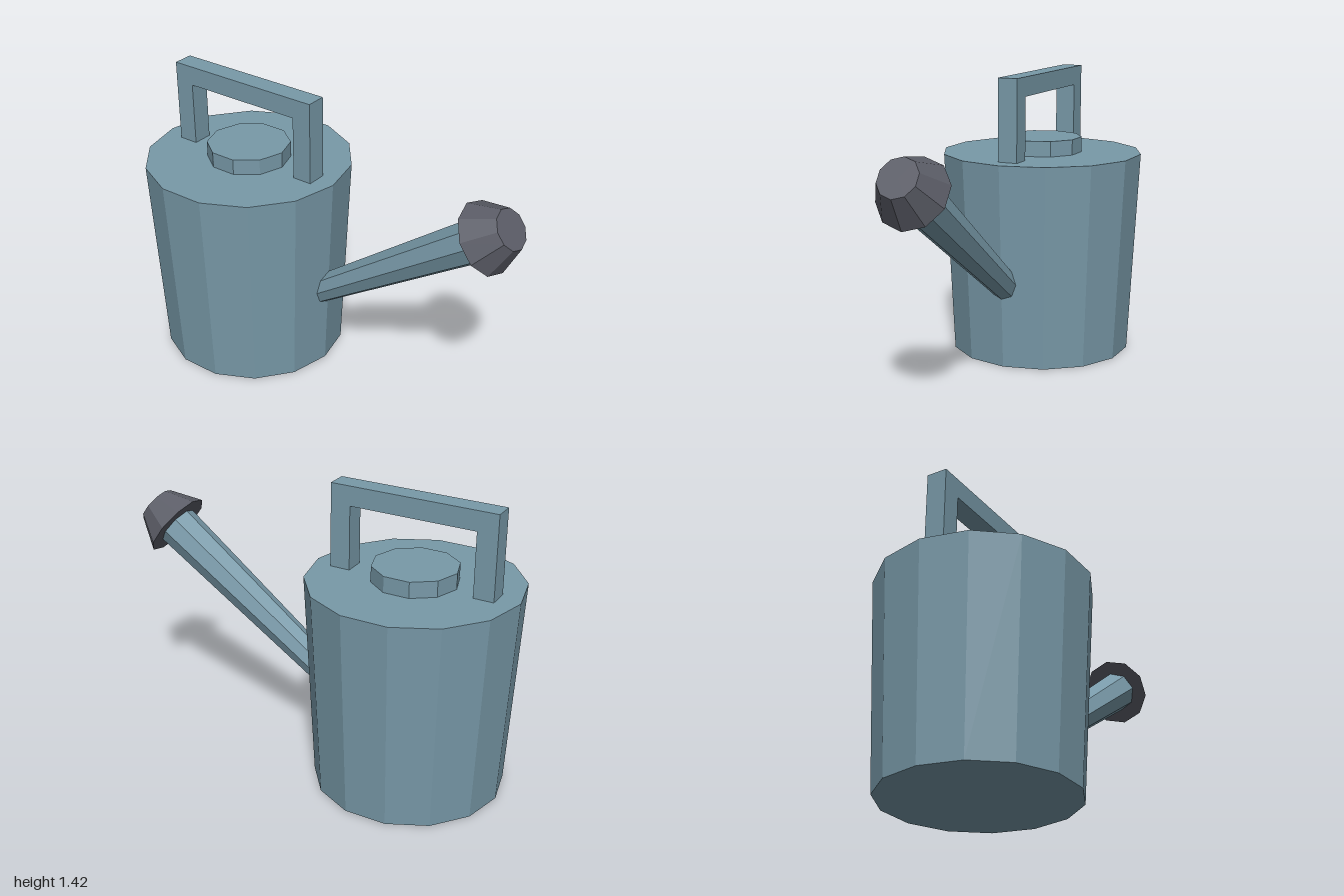
import * as THREE from 'three';

const BODY_Z = -0.495;

export function createModel() {
  const model = new THREE.Group();
  model.name = 'wateringCan';
  const metal = new THREE.MeshStandardMaterial({ color: 0x7899a8, flatShading: true });
  const dark = new THREE.MeshStandardMaterial({ color: 0x5c5e68, flatShading: true });

  const add = (name, geometry, material) => {
    const mesh = new THREE.Mesh(geometry, material);
    mesh.name = name;
    model.add(mesh);
    return mesh;
  };

  // Faceted frustum running from one point to another in the x = 0 plane
  const frustum = (name, material, sides, [z0, y0, r0], [z1, y1, r1]) => {
    const length = Math.hypot(z1 - z0, y1 - y0);
    const mesh = add(name, new THREE.CylinderGeometry(r1, r0, length, sides), material);
    mesh.position.set(0, (y0 + y1) / 2, (z0 + z1) / 2);
    mesh.rotation.x = Math.atan2(z1 - z0, y1 - y0);
    return mesh;
  };

  // Tapered container and the low cap on top
  frustum('body', metal, 14, [BODY_Z, 0, 0.455], [BODY_Z, 1.015, 0.505]);
  frustum('lid', metal, 10, [BODY_Z, 1.0, 0.203], [BODY_Z, 1.092, 0.203]);

  // Spout widening towards its tip; its root is sunk into the body
  frustum('spout', metal, 8, [-0.104, 0.379, 0.068], [0.83, 1.031, 0.104]);

  // Sprinkler head
  frustum('sprinklerHead', dark, 10, [0.821, 1.024, 0.173], [0.944, 1.111, 0.097]);

  // Square arch handle, drawn in profile and extruded across x
  const half = 0.405, inner = 0.307, foot = 1.0, top = 1.42, under = 1.325;
  const arch = new THREE.Shape([
    [-half, foot], [-inner, foot], [-inner, under], [inner, under],
    [inner, foot], [half, foot], [half, top], [-half, top],
  ].map(([x, y]) => new THREE.Vector2(x, y)));
  const handle = add('handle',
    new THREE.ExtrudeGeometry(arch, { depth: 0.1, bevelEnabled: false }).translate(0, 0, -0.05), metal);
  handle.rotation.y = Math.PI / 2;
  handle.position.z = BODY_Z + 0.005;

  return model;
}
